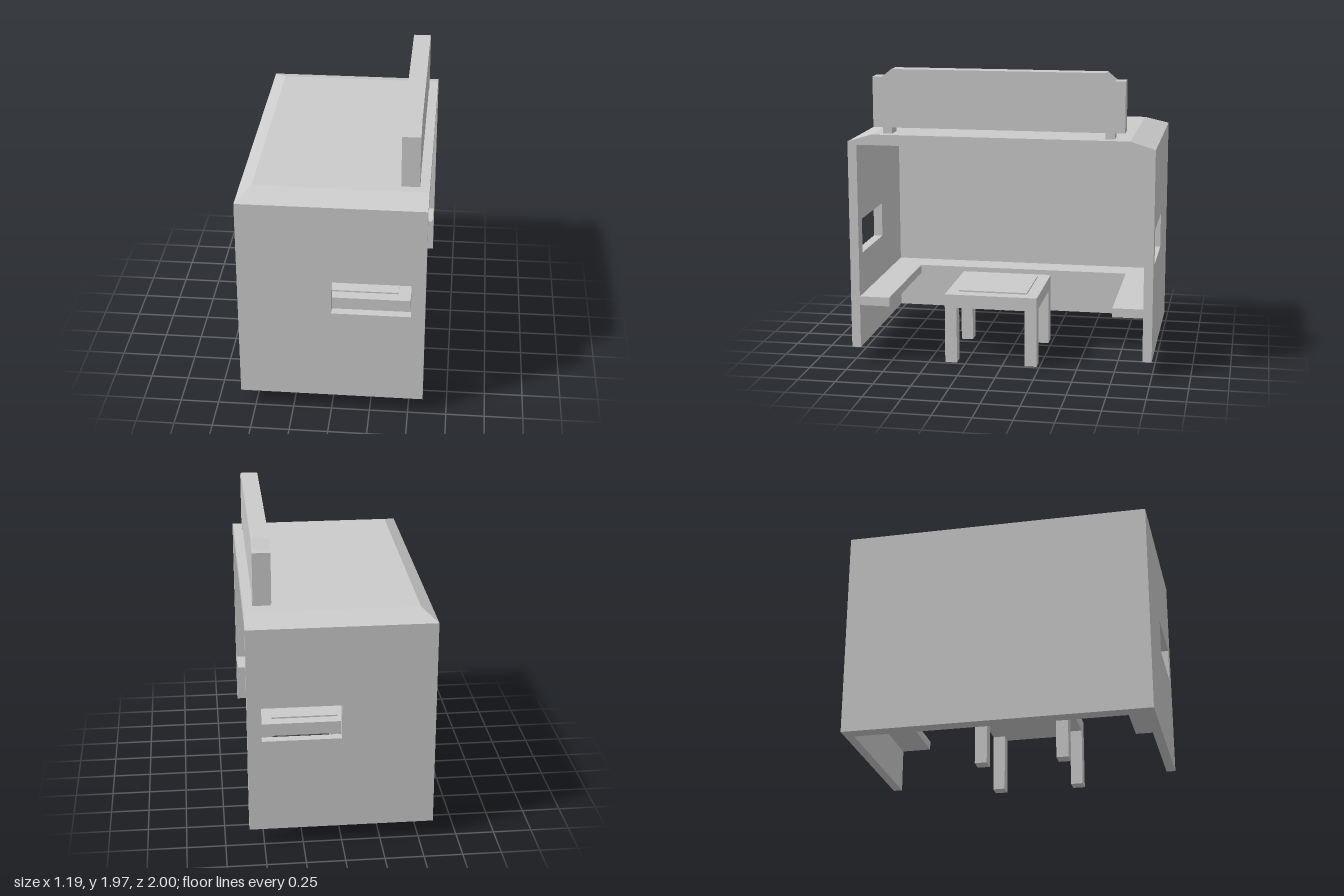
import * as THREE from 'three';
import { ConvexGeometry } from 'three/addons/geometries/ConvexGeometry.js';

const W = 0.595; // half width of the shelter in x
const material = new THREE.MeshStandardMaterial({ color: 0xcccccc, flatShading: true });

function add(parent, name, geometry) {
  const mesh = new THREE.Mesh(geometry, material);
  mesh.name = name;
  parent.add(mesh);
  return mesh;
}

// Box given by its limits on each axis
function block(parent, name, [x0, x1], [y0, y1], [z0, z1]) {
  const mesh = add(parent, name, new THREE.BoxGeometry(x1 - x0, y1 - y0, z1 - z0));
  mesh.position.set((x0 + x1) / 2, (y0 + y1) / 2, (z0 + z1) / 2);
  return mesh;
}

const outline = (points) => points.map(([x, y]) => new THREE.Vector2(x, y));

function createShelter() {
  const shelter = new THREE.Group();
  shelter.name = 'shelter';

  // Side walls with a window opening
  const wall = new THREE.Shape(outline([[-W, 0.11], [W, 0.11], [W, 1.48], [-W, 1.48]]));
  wall.holes.push(new THREE.Path(outline([[0, 0.74], [0, 0.97], [0.505, 0.97], [0.505, 0.74]])));
  const wallGeometry = new THREE.ExtrudeGeometry(wall, { depth: 0.06, bevelEnabled: false });
  add(shelter, 'frontSideWall', wallGeometry).position.z = 0.94;
  add(shelter, 'rearSideWall', wallGeometry).position.z = -1;

  block(shelter, 'backWall', [-W, -0.5], [0.11, 1.48], [-0.94, 0.94]);

  // Roof slab, sloped on three edges and straight above the opening
  const corners = [];
  for (const s of [-1, 1]) {
    for (const x of [-W, W]) {
      corners.push(new THREE.Vector3(x, 1.48, s), new THREE.Vector3(x, 1.5, s));
    }
    corners.push(new THREE.Vector3(-0.505, 1.55, s * 0.84), new THREE.Vector3(W, 1.55, s * 0.84));
  }
  add(shelter, 'roof', new ConvexGeometry(corners));
  return shelter;
}

// U-shaped bench along the three walls
function createBench() {
  const bench = new THREE.Group();
  const shape = new THREE.Shape(outline([
    [-0.5, -0.94], [W - 0.005, -0.94], [W - 0.005, -0.74], [-0.31, -0.74],
    [-0.31, 0.74], [W - 0.005, 0.74], [W - 0.005, 0.94], [-0.5, 0.94],
  ]));
  const seat = add(bench, 'benchSeat', new THREE.ExtrudeGeometry(shape, { depth: 0.06, bevelEnabled: false }));
  seat.rotation.x = -Math.PI / 2;
  seat.position.y = 0.4;
  bench.name = 'bench';
  return bench;
}

function createTable() {
  const table = new THREE.Group();
  table.name = 'table';
  block(table, 'tableTop', [-0.145, 0.48], [0.38, 0.47], [-0.23, 0.39]);
  block(table, 'tableInset', [-0.06, 0.395], [0.47, 0.48], [-0.15, 0.31]);
  for (const x of [[-0.145, -0.055], [0.395, 0.48]]) {
    for (const z of [[-0.23, -0.15], [0.31, 0.39]]) block(table, 'tableLeg', x, [0, 0.38], z);
  }
  return table;
}

// Sign board with stepped upper corners on two short feet
function createSign() {
  const sign = new THREE.Group();
  sign.name = 'roofSign';
  const shape = new THREE.Shape(outline([
    [-0.84, 1.59], [0.8, 1.59], [0.8, 1.92], [0.735, 1.92],
    [0.675, 1.97], [-0.715, 1.97], [-0.775, 1.92], [-0.84, 1.92],
  ]));
  const board = add(sign, 'signBoard', new THREE.ExtrudeGeometry(shape, { depth: 0.115, bevelEnabled: false }));
  board.rotation.y = Math.PI / 2;
  board.position.x = 0.42;
  for (const z of [[0.715, 0.775], [-0.735, -0.675]]) {
    block(sign, 'signFoot', [0.42, 0.535], [1.55, 1.59], z);
  }
  return sign;
}

export function createModel() {
  const model = new THREE.Group();
  model.name = 'shelterWithBenchAndTable';
  model.add(createShelter(), createBench(), createTable(), createSign());
  return model;
}
